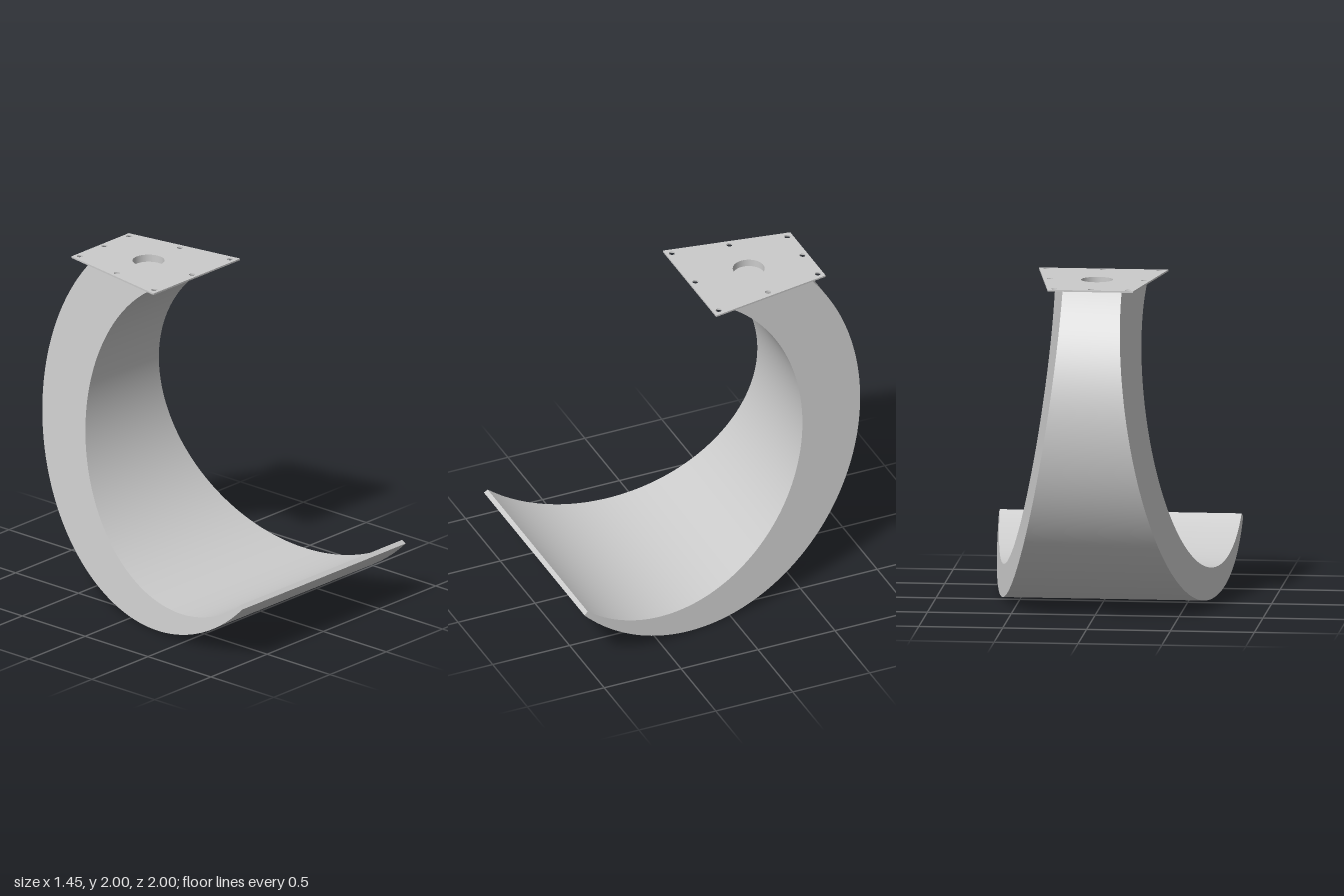
import * as THREE from 'three';
import { mergeGeometries } from 'three/addons/utils/BufferGeometryUtils.js';

const SEGMENTS = 96;
const TOP = 1.99; // underside of the plate
const HOLE = { z: -0.39, r: 0.095, depth: 0.035 };

// Side profile: two offset circular arcs in the z-y plane
const OUTER = { z: 0.17, y: 1.17, r: 1.17, from: Math.PI - Math.asin(0.82 / 1.17), to: 2 * Math.PI - Math.asin(0.82 / 1.17) };
const INNER = { z: 0.38, y: 1.13, r: 0.97, from: Math.PI - Math.asin(0.86 / 0.97), to: 2 * Math.PI - Math.asin(0.76 / 0.97) };

// Flat sloping sides: half width grows toward the front and the bottom
const halfWidth = (z, y) => 0.607 + 0.175 * z - 0.158 * y;

// Edge curve of the crescent on one side (side = +1 left, -1 right)
const edge = (arc, side) => (t) => {
  const a = THREE.MathUtils.lerp(arc.from, arc.to, t);
  const z = arc.z + arc.r * Math.cos(a);
  const y = arc.y + arc.r * Math.sin(a);
  return new THREE.Vector3(side * halfWidth(z, y), y, z);
};

// Ruled surface between two edge curves
function strip(curveA, curveB, segments) {
  const points = [];
  const index = [];
  for (let i = 0; i <= segments; i++) {
    points.push(curveA(i / segments), curveB(i / segments));
    if (i < segments) {
      const k = 2 * i;
      index.push(k, k + 1, k + 2, k + 1, k + 3, k + 2);
    }
  }
  const geometry = new THREE.BufferGeometry().setFromPoints(points);
  geometry.setIndex(index);
  geometry.computeVertexNormals();
  return geometry;
}

// Symmetric trapezoid seen from above, drawn as (x, -z)
function trapezoid(backX, backZ, frontX, frontZ) {
  return new THREE.Shape([
    new THREE.Vector2(-frontX, -frontZ),
    new THREE.Vector2(frontX, -frontZ),
    new THREE.Vector2(backX, -backZ),
    new THREE.Vector2(-backX, -backZ),
  ]);
}

function addHole(shape, x, z, r) {
  shape.holes.push(new THREE.Path().absarc(x, -z, r, 0, Math.PI * 2, true));
}

export function createModel() {
  const model = new THREE.Group();
  model.name = 'curvedStand';
  const material = new THREE.MeshStandardMaterial({ color: 0xcccccc });
  const add = (name, geometry, mat = material) => {
    const mesh = new THREE.Mesh(geometry, mat);
    mesh.name = name;
    model.add(mesh);
    return mesh;
  };

  // Crescent body: outer and inner skins, two flat sides, front lip
  const outerL = edge(OUTER, 1), outerR = edge(OUTER, -1);
  const innerL = edge(INNER, 1), innerR = edge(INNER, -1);
  const lip = (outer, inner) => (t) => outer(1).lerp(inner(1), t);
  add('crescentBody', mergeGeometries([
    strip(outerR, outerL, SEGMENTS),
    strip(innerL, innerR, SEGMENTS),
    strip(outerL, innerL, SEGMENTS),
    strip(innerR, outerR, SEGMENTS),
    strip(lip(outerR, innerR), lip(outerL, innerL), 1),
  ]));

  // Top end of the body, opened for the socket
  const back = outerL(0), front = innerL(0);
  const capShape = trapezoid(back.x, back.z, front.x, front.z);
  addHole(capShape, 0, HOLE.z, HOLE.r);
  add('bodyTop', new THREE.ShapeGeometry(capShape, 24).rotateX(-Math.PI / 2).translate(0, TOP, 0));

  // Shallow round socket under the plate
  const inside = new THREE.MeshStandardMaterial({ color: 0xcccccc, side: THREE.DoubleSide });
  add('socketWall', new THREE.CylinderGeometry(HOLE.r, HOLE.r, HOLE.depth, 48, 1, true), inside)
    .position.set(0, TOP - HOLE.depth / 2, HOLE.z);
  add('socketFloor', new THREE.CircleGeometry(HOLE.r, 48).rotateX(-Math.PI / 2))
    .position.set(0, TOP - HOLE.depth, HOLE.z);

  // Mounting plate with centre hole and bolt holes
  const plateShape = trapezoid(0.255, -0.775, 0.385, -0.005);
  addHole(plateShape, 0, HOLE.z, HOLE.r);
  for (const [x, z] of [[0.22, -0.74], [0.28, -0.39], [0.337, -0.043]]) {
    for (const side of [1, -1]) addHole(plateShape, side * x, z, 0.018);
  }
  for (const z of [-0.74, -0.043]) addHole(plateShape, 0, z, 0.018);
  const plate = new THREE.ExtrudeGeometry(plateShape, { depth: 2 - TOP, bevelEnabled: false, curveSegments: 24 });
  add('mountingPlate', plate.rotateX(-Math.PI / 2).translate(0, TOP, 0));

  return model;
}
